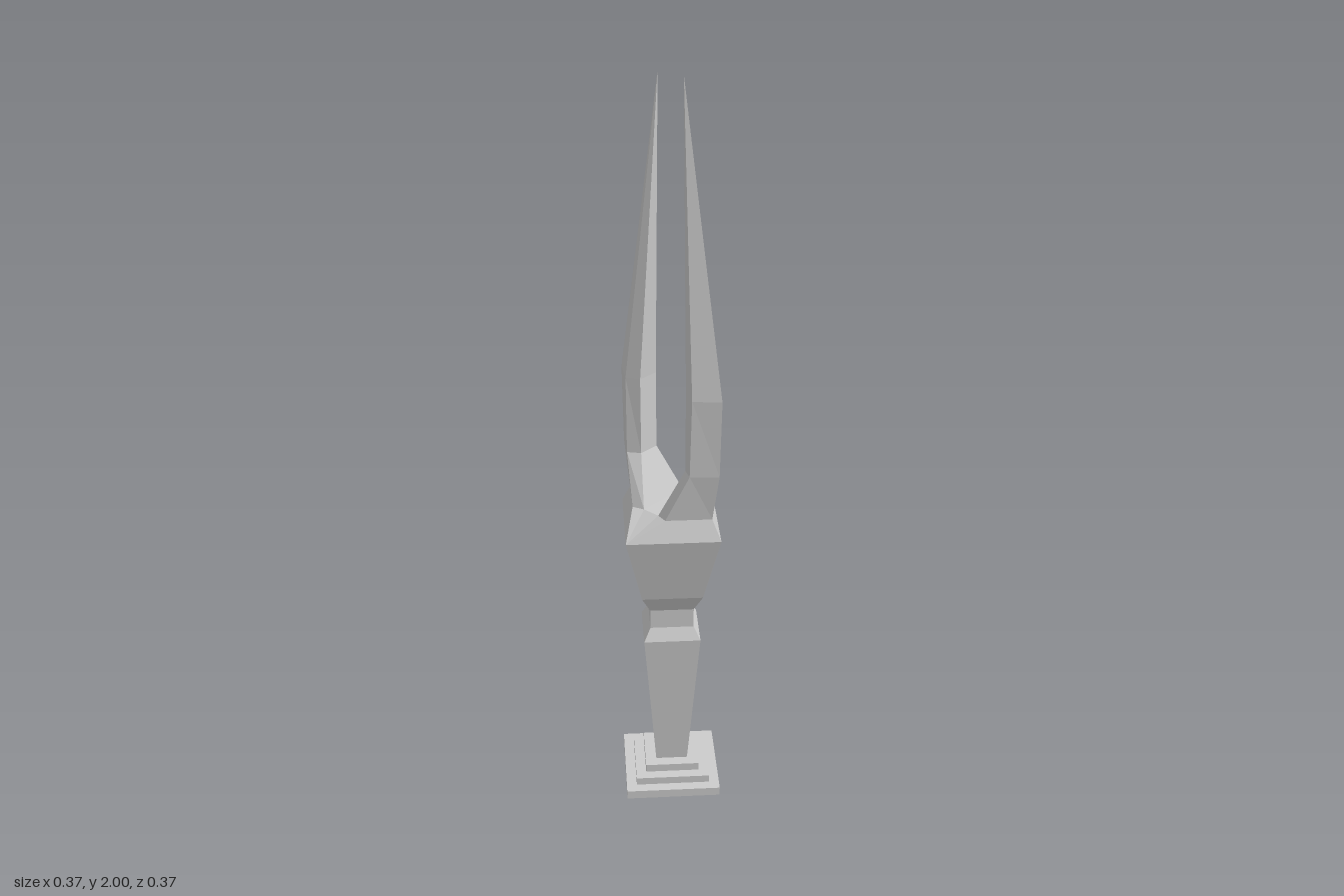
import * as THREE from 'three';

const material = new THREE.MeshStandardMaterial({ color: 0xcccccc, flatShading: true });

function addMesh(parent, name, geometry) {
  const mesh = new THREE.Mesh(geometry, material);
  mesh.name = name;
  parent.add(mesh);
  return mesh;
}

// Four-sided turned part with its corners on the x and z axes
function diamondTurn(profile) {
  return new THREE.LatheGeometry(profile.map(([r, y]) => new THREE.Vector2(r, y)), 4);
}

function fromTriangles(positions) {
  const geometry = new THREE.BufferGeometry();
  geometry.setAttribute('position', new THREE.Float32BufferAttribute(positions.flat(), 3));
  geometry.computeVertexNormals();
  return geometry;
}

// Five-cornered prong section: outer ridge, two side corners, two inner corners
function section({ y, outer, side, inner }) {
  return [
    [0, y, outer],
    [side[0], y, side[1]], [inner[0], y, inner[1]],
    [-inner[0], y, inner[1]], [-side[0], y, side[1]],
  ];
}

function prongGeometry() {
  const rings = [
    { y: 0.825, outer: 0.175, side: [0.175, 0], inner: [0.175, 0] },
    { y: 0.88, outer: 0.143, side: [0.086, 0.057], inner: [0.077, 0.025] },
    { y: 1.01, outer: 0.165, side: [0.05, 0.108], inner: [0.03, 0.076] },
    { y: 1.22, outer: 0.17, side: [0.047, 0.112], inner: [0.03, 0.077] },
    { y: 2.0, outer: 0.04, side: [0, 0.04], inner: [0, 0.04] },
  ].map(section);
  const tris = [];
  for (let i = 0; i < rings.length - 1; i++) {
    for (let j = 0; j < 5; j++) {
      if (i === 0 && j === 2) continue; // closed by the saddle
      const k = (j + 1) % 5;
      const [a, b, c, d] = [rings[i][j], rings[i][k], rings[i + 1][k], rings[i + 1][j]];
      // the shoulder pinches to a corner, the tip to a point
      if (!(i === 0 && (j === 1 || j === 3))) tris.push(a, b, d);
      if (i === 0 && j === 1) tris.push(a, c, d);
      else if (i === 0 && j === 3) tris.push(a, c, d);
      else if (i < rings.length - 2) tris.push(b, c, d);
    }
  }
  return fromTriangles(tris);
}

// Flat strip between the prongs, with a sloping triangle at each end
function saddleGeometry() {
  const x = 0.077, z = 0.025, y = 0.88;
  const fr = [x, y, z], br = [x, y, -z], fl = [-x, y, z], bl = [-x, y, -z];
  return fromTriangles([
    fl, fr, br, fl, br, bl,
    [0.175, 0.825, 0], br, fr,
    [-0.175, 0.825, 0], fl, bl,
  ]);
}

export function createModel() {
  const model = new THREE.Group();
  model.name = 'prongedOrnament';

  addMesh(model, 'steppedBase', diamondTurn([
    [0, 0], [0.185, 0], [0.185, 0.025], [0.145, 0.025],
    [0.145, 0.047], [0.105, 0.047], [0.105, 0.07], [0, 0.07],
  ]));
  addMesh(model, 'shaft', diamondTurn([
    [0.062, 0.07], [0.108, 0.49], [0.083, 0.525], [0.083, 0.58],
  ]));
  addMesh(model, 'flaredHead', diamondTurn([
    [0.083, 0.58], [0.115, 0.63], [0.175, 0.825],
  ]));
  addMesh(model, 'saddle', saddleGeometry());

  // Matching prongs, front and back
  addMesh(model, 'frontProng', prongGeometry());
  addMesh(model, 'backProng', prongGeometry()).rotation.y = Math.PI;

  return model;
}
